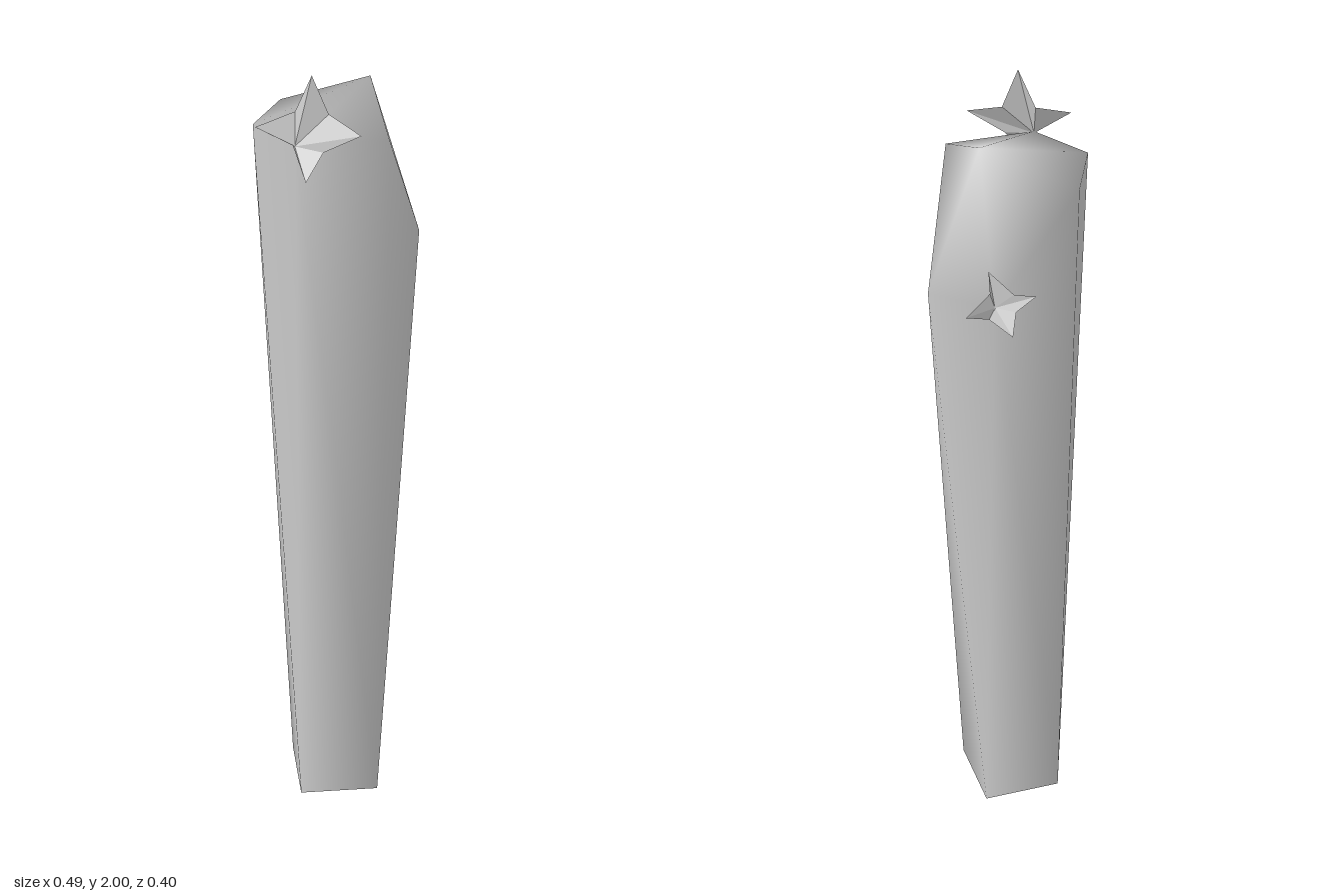
import * as THREE from 'three';

function makeMesh(name, points, faces, options = {}) {
  const geometry = new THREE.BufferGeometry();
  geometry.setAttribute('position', new THREE.Float32BufferAttribute(points.flat(), 3));
  geometry.setIndex(faces.flat());
  geometry.computeVertexNormals();
  const mesh = new THREE.Mesh(geometry, new THREE.MeshStandardMaterial({ color: 0xcccccc, ...options }));
  mesh.name = name;
  return mesh;
}

// Tapered stem: a square foot widening to a six-cornered rim with an off-centre peak
function makeStem() {
  const rim = [
    [-0.005, 1.84, 0.18], [0.17, 1.55, 0.1], [0.185, 1.59, -0.105],
    [-0.005, 1.84, -0.2], [-0.165, 1.84, -0.11], [-0.18, 1.84, 0.055],
  ];
  const foot = [[0.017, 0, 0.137], [0.133, 0, -0.032], [-0.031, 0, -0.151], [-0.147, 0, 0.017]];
  const peak = [0.1, 1.925, 0];
  const r = (i) => i % 6;
  const f = (i) => 6 + (i % 4);
  const faces = [];
  // crown fan
  for (let i = 0; i < 6; i++) faces.push([10, r(i), r(i + 1)]);
  // sides: each half turn joins three rim edges to two foot edges
  for (let h = 0; h < 2; h++) {
    const u = 3 * h, l = 2 * h;
    faces.push(
      [f(l), r(u + 1), r(u)],
      [f(l), f(l + 1), r(u + 1)],
      [f(l + 1), r(u + 2), r(u + 1)],
      [f(l + 1), f(l + 2), r(u + 2)],
      [f(l + 2), r(u + 3), r(u + 2)],
    );
  }
  const stem = makeMesh('stem', [...rim, ...foot, peak], faces);
  const base = makeMesh('stemBase', foot, [[0, 3, 2], [0, 2, 1]]);
  return [stem, base];
}

// Four-pointed flower: tips and notches alternate around a sunken centre
function makeFlower(name, centre, tips, notches) {
  const points = [centre];
  tips.forEach((tip, i) => points.push(tip, notches[i]));
  const faces = [];
  for (let i = 0; i < 8; i++) faces.push([0, 1 + i, 1 + ((i + 1) % 8)]);
  return makeMesh(name, points, faces, { flatShading: true, side: THREE.DoubleSide });
}

export function createModel() {
  const group = new THREE.Group();
  group.name = 'floweringColumn';
  group.add(...makeStem());

  group.add(makeFlower('largeFlower', [-0.18, 1.835, 0.055],
    [[-0.245, 1.88, -0.005], [-0.15, 2.0, 0.08], [-0.107, 1.88, 0.197], [-0.2, 1.77, 0.115]],
    [[-0.165, 1.91, 0.04], [-0.122, 1.91, 0.105], [-0.15, 1.83, 0.118], [-0.187, 1.84, 0.056]]));

  group.add(makeFlower('smallFlower', [0.183, 1.59, -0.105],
    [[0.245, 1.58, -0.07], [0.187, 1.68, -0.09], [0.142, 1.63, -0.19], [0.195, 1.54, -0.165]],
    [[0.195, 1.63, -0.1], [0.165, 1.63, -0.145], [0.17, 1.59, -0.155], [0.192, 1.56, -0.095]]));

  return group;
}
